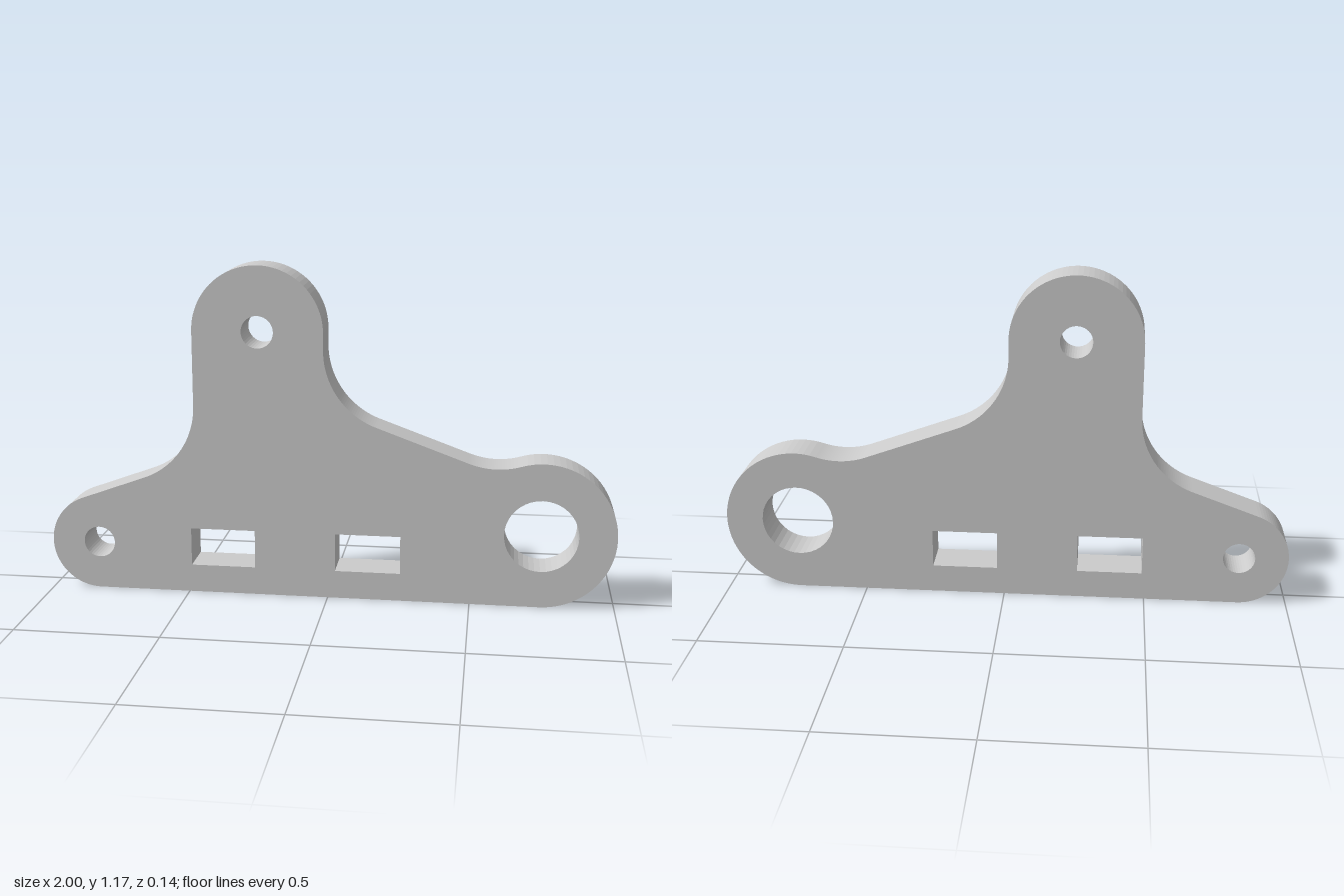
import * as THREE from 'three';

const DEPTH = 0.14;
const TILT = THREE.MathUtils.degToRad(20); // slope of both shoulders
const FILLET = 0.28;

// Rounded lugs: centre, outer radius, bore radius
const leftLug = { x: -0.828, y: 0.172, r: 0.172, bore: 0.056 };
const rightLug = { x: 0.742, y: 0.258, r: 0.258, bore: 0.128 };
const topLug = { x: -0.243, y: 0.947, r: 0.228, bore: 0.056 };

// Centre of the fillet joining the left shoulder to the upright
function leftFilletCentre() {
  const x = topLug.x - topLug.r - FILLET;
  const y = leftLug.y + (x - leftLug.x) * Math.tan(TILT) + (leftLug.r + FILLET) / Math.cos(TILT);
  return { x, y };
}

// Centre of the fillet between the right shoulder and the right lug
function lugFilletCentre(start) {
  const dir = new THREE.Vector2(Math.cos(TILT), -Math.sin(TILT));
  const d = new THREE.Vector2(start.x - rightLug.x, start.y - rightLug.y);
  const b = d.dot(dir);
  const t = -b - Math.sqrt(b * b - d.lengthSq() + (rightLug.r + FILLET) ** 2);
  return { x: start.x + dir.x * t, y: start.y + dir.y * t };
}

function circleHole({ x, y, bore }) {
  return new THREE.Path().absarc(x, y, bore, 0, Math.PI * 2, true);
}

function slotHole(x, y, w, h) {
  return new THREE.Path([
    [x - w / 2, y - h / 2], [x - w / 2, y + h / 2],
    [x + w / 2, y + h / 2], [x + w / 2, y - h / 2],
  ].map(([px, py]) => new THREE.Vector2(px, py)));
}

function plateShape() {
  const H = Math.PI / 2;
  const left = leftFilletCentre();
  const right = { x: topLug.x + topLug.r + FILLET, y: 0.888 };
  const dip = lugFilletCentre(right);
  const touch = Math.atan2(dip.y - rightLug.y, dip.x - rightLug.x);

  // Outline counter-clockwise from the bottom edge
  const s = new THREE.Shape();
  s.moveTo(leftLug.x, 0);
  s.absarc(rightLug.x, rightLug.y, rightLug.r, -H, touch, false);
  s.absarc(dip.x, dip.y, FILLET, touch - Math.PI, -H - TILT, true);
  s.absarc(right.x, right.y, FILLET, -H - TILT, -Math.PI, true);
  s.absarc(topLug.x, topLug.y, topLug.r, 0, Math.PI, false);
  s.absarc(left.x, left.y, FILLET, 0, -H + TILT, true);
  s.absarc(leftLug.x, leftLug.y, leftLug.r, H + TILT, 3 * H, false);

  // Bores and rectangular slots
  s.holes.push(...[leftLug, rightLug, topLug].map(circleHole));
  for (const x of [-0.375, 0.141]) s.holes.push(slotHole(x, 0.168, 0.23, 0.136));
  return s;
}

export function createModel() {
  const group = new THREE.Group();
  group.name = 'bracket';
  const geometry = new THREE.ExtrudeGeometry(plateShape(), {
    depth: DEPTH, bevelEnabled: false, curveSegments: 20,
  });
  geometry.translate(0, 0, -DEPTH / 2);
  const plate = new THREE.Mesh(geometry, new THREE.MeshStandardMaterial({ color: 0xcccccc }));
  plate.name = 'bracketPlate';
  group.add(plate);
  return group;
}
